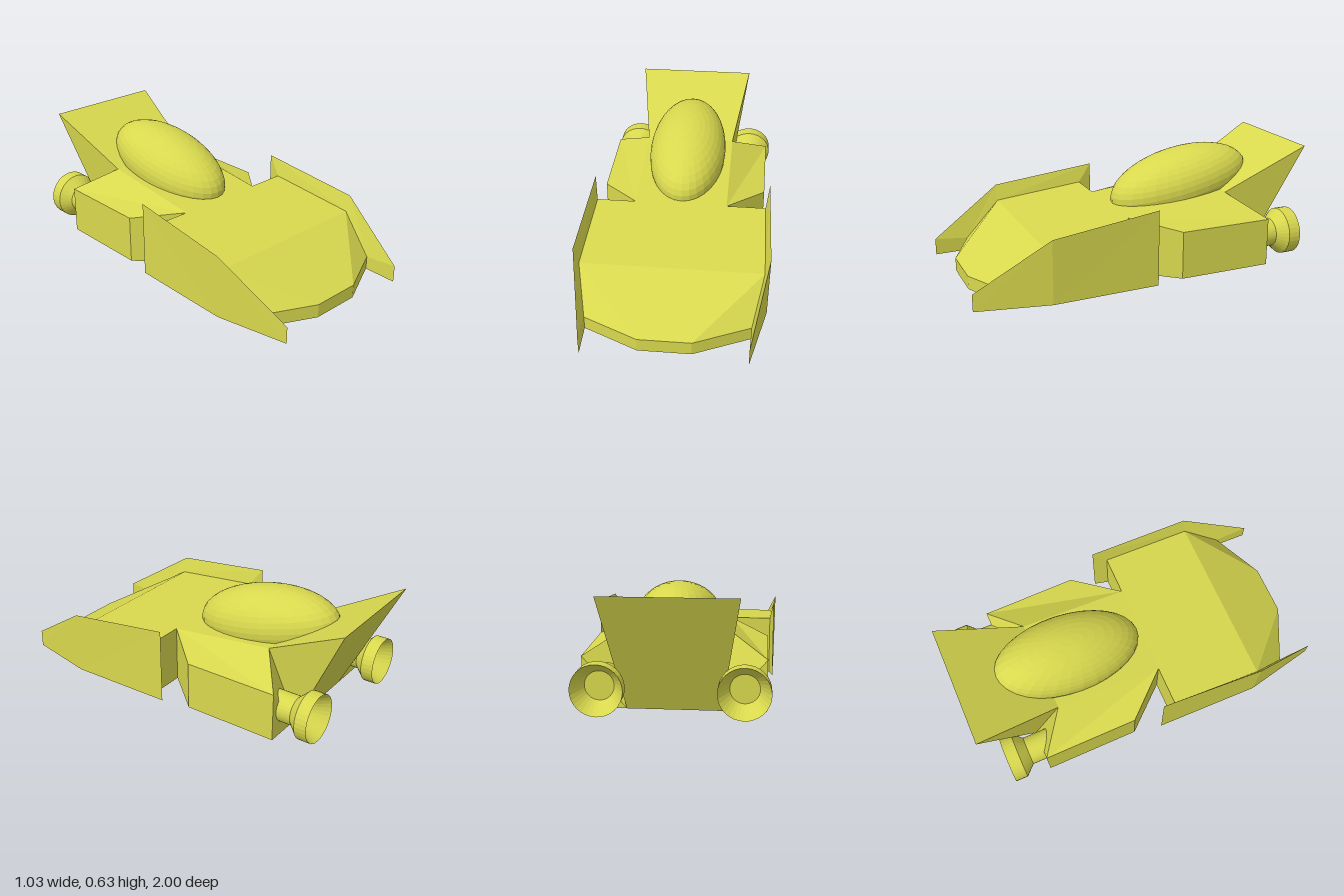
import * as THREE from 'three';

const material = new THREE.MeshStandardMaterial({ color: 0xd8d84e, flatShading: true });
const openMaterial = material.clone();
openMaterial.side = THREE.DoubleSide;

// Named corners of the left half (+x); the right half is mirrored.
const P = {
  // nose, bottom and top
  b0: [0, 0, 0.95], b1: [0.14, 0, 0.95], b2: [0.435, 0, 0.81],
  N0: [0, 0.075, 0.95], N1: [0.14, 0.075, 0.95], N2: [0.435, 0.075, 0.81],
  // hood edge and deck
  h2: [0.49, 0, 0.6],
  H0: [0, 0.265, 0.6], H1: [0.27, 0.265, 0.6], H2: [0.49, 0.265, 0.6],
  c0: [0, 0, 0.08], c1: [0.26, 0, 0.08], c2: [0.48, 0, 0.08],
  D0: [0, 0.32, 0.08], D1: [0.26, 0.32, 0.08], D2: [0.48, 0.32, 0.08],
  T0: [0, 0.39, -0.53], T1: [0.26, 0.39, -0.53],
  // side pods
  s1: [0.47, 0, -0.16], s2: [0.47, 0, -0.695],
  S1: [0.47, 0.27, -0.16], S2: [0.47, 0.27, -0.695],
  // rear wing
  w0: [0, 0, -0.695], w1: [0.24, 0, -0.695],
  W0: [0, 0.633, -1], W1: [0.34, 0.633, -1],
  // front fenders
  f1: [0.43, 0, 1], f2: [0.512, 0, 0.6], f3: [0.5, 0, 0],
  F1: [0.43, 0.095, 1], F2: [0.517, 0.355, 0.6], F3: [0.5, 0.425, 0],
};

// Builds a mirrored mesh from loops of corner names, counter-clockwise from outside.
function mirroredMesh(name, loops) {
  const positions = [];
  for (const loop of loops) {
    const pts = loop.split(' ').map((key) => P[key]);
    for (let i = 1; i < pts.length - 1; i++) {
      const tri = [pts[0], pts[i], pts[i + 1]];
      for (const p of tri) positions.push(...p);
      for (const [x, y, z] of tri.reverse()) positions.push(-x, y, z);
    }
  }
  const geometry = new THREE.BufferGeometry();
  geometry.setAttribute('position', new THREE.Float32BufferAttribute(positions, 3));
  geometry.computeVertexNormals();
  const mesh = new THREE.Mesh(geometry, material);
  mesh.name = name;
  return mesh;
}

export function createModel() {
  const model = new THREE.Group();
  model.name = 'racer';

  model.add(
    mirroredMesh('frontBody', [
      'b0 b1 N1 N0', 'b1 b2 N2 N1', // nose lip
      'N0 N1 H1 H0', 'N1 N2 H2 H1', // sloping nose
      'H0 H1 H2 D2 D0', // hood
      'c2 c1 D1 D2', // wall behind the hood
      'c0 c2 h2 b2 b1 b0', // underside
    ]),
    mirroredMesh('rearBody', [
      'D0 D1 T1 T0', // deck
      'D1 S1 S2 T1', // shoulder
      'c1 s1 S1 D1', 's1 s2 S2 S1', // sides
      's2 w1 S2', 'w1 T1 S2', // rear walls
      'w0 w1 s2 s1 c1 c0', // underside
    ]),
    mirroredMesh('rearWing', ['T0 T1 W1 W0', 'T1 w1 W1', 'w1 w0 W0 W1']),
    mirroredMesh('frontFenders', [
      'f1 f2 F2 F1', 'f2 f3 F3 F2', // outside
      'N2 F1 F2 H2', 'H2 F2 F3 D2', // inner slopes
      'b2 f1 F1 N2', 'f3 c2 D2 F3', // front and rear ends
      'h2 f2 f1 b2', 'c2 f3 f2 h2', // underside
    ]),
  );

  // Canopy: a stretched dome leaning forward on the deck
  const canopy = new THREE.Mesh(new THREE.SphereGeometry(1, 32, 20), material);
  canopy.name = 'canopy';
  canopy.scale.set(0.225, 0.195, 0.432);
  canopy.position.set(0, 0.41, -0.365);
  canopy.rotation.x = 0.2;
  model.add(canopy);

  // Exhaust nozzles: pipe, flare, rim and hollow mouth
  const profile = [
    [0.08, 0.5], [0.08, 0.775], [0.132, 0.83], [0.132, 0.9], [0.075, 0.8], [0, 0.8],
  ].map(([r, y]) => new THREE.Vector2(r, y));
  const nozzleGeometry = new THREE.LatheGeometry(profile, 32);
  for (const side of [1, -1]) {
    const nozzle = new THREE.Mesh(nozzleGeometry, openMaterial);
    nozzle.name = side > 0 ? 'leftNozzle' : 'rightNozzle';
    nozzle.position.set(side * 0.36, 0.148, 0);
    nozzle.rotation.x = -Math.PI / 2;
    model.add(nozzle);
  }

  return model;
}
